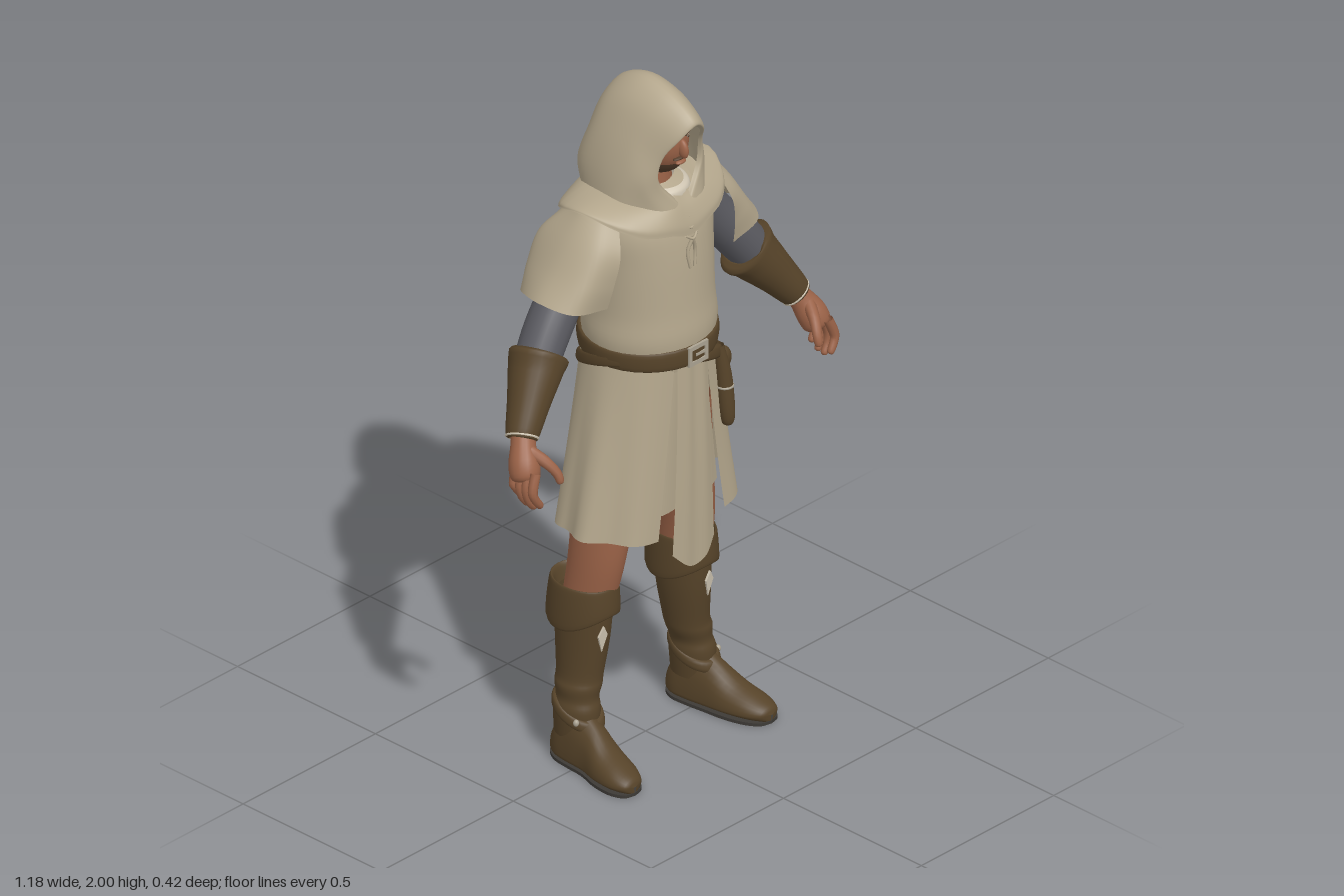
import * as THREE from 'three';
import { mergeVertices } from 'three/addons/utils/BufferGeometryUtils.js';

const mat = (name, color) => new THREE.MeshStandardMaterial({ name, color, side: THREE.DoubleSide });
const V = (p) => new THREE.Vector3(...p);

// Smooth surface through rows of control points
function skin(rows, { loop = false, nu = 32, nv = 16 } = {}) {
  const curves = rows.map((r) => new THREE.CatmullRomCurve3(r.map(V), loop, 'catmullrom'));
  let geo = new THREE.PlaneGeometry(1, 1, nu, nv);
  const pos = geo.attributes.position;
  for (let i = 0; i <= nu; i++) {
    const column = new THREE.CatmullRomCurve3(curves.map((c) => c.getPoint(i / nu)), false, 'catmullrom');
    for (let j = 0; j <= nv; j++) {
      const p = column.getPoint(j / nv);
      pos.setXYZ(j * (nu + 1) + i, p.x, p.y, p.z);
    }
  }
  geo.deleteAttribute('uv');
  geo.deleteAttribute('normal');
  geo = mergeVertices(geo);
  geo.computeVertexNormals();
  return geo;
}

// Horizontal oval of control points, starting at the front; lift(angle) bends its height
const ring = (x, y, z, rx, rz, lift = () => 0) => Array.from({ length: 16 }, (_, i) => {
  const a = (i / 16) * Math.PI * 2;
  return [x + rx * Math.sin(a), y + lift(a), z + rz * Math.cos(a)];
});
const stack = (rings, nv = 20) => skin(rings.map((r) => ring(...r)), { loop: true, nv });

// Round limb along [x, y, z, radius] stations
function limb(path, nu = 20, nv = 16) {
  const rows = path.map((p, i) => {
    const a = V(path[Math.max(i - 1, 0)].slice(0, 3));
    const b = V(path[Math.min(i + 1, path.length - 1)].slice(0, 3));
    const t = b.sub(a).normalize();
    const u = new THREE.Vector3(0, 0, 1).cross(t).normalize();
    const v = t.clone().cross(u);
    return Array.from({ length: 10 }, (_, k) => {
      const w = (k / 10) * Math.PI * 2;
      return V(p.slice(0, 3)).addScaledVector(u, p[3] * Math.cos(w)).addScaledVector(v, p[3] * Math.sin(w)).toArray();
    });
  });
  return skin(rows, { loop: true, nu, nv });
}

// Completes a half row that starts on x = 0
const mirrorRow = (half) => [...half.slice(1).reverse().map(([x, y, z]) => [-x, y, z]), ...half];

export function createModel() {
  const root = new THREE.Group();
  const cloth = mat('cloth', 0xb3a68c), leather = mat('leather', 0x564329), flesh = mat('skin', 0x9a6247);
  const shirt = mat('grey shirt', 0x5a5a60), cream = mat('cream lining', 0xcfc5b2), hair = mat('brown hair', 0x543d2b);
  const metal = mat('metal', 0xaaa291), soleDark = mat('sole', 0x3d3a36);
  const add = (parent, name, geo, material, p = [0, 0, 0], s = [1, 1, 1], r = [0, 0, 0]) => {
    const m = new THREE.Mesh(geo, material);
    m.name = name;
    m.position.set(...p); m.scale.set(...s); m.rotation.set(...r);
    parent.add(m);
  };
  const ball = new THREE.SphereGeometry(1, 24, 16);
  const box = new THREE.BoxGeometry(1, 1, 1);

  // Head, face and neck
  const head = new THREE.Group();
  head.name = 'head';
  root.add(head);
  add(head, 'skull', ball, flesh, [0, 1.835, 0.045], [0.072, 0.1, 0.09]);
  add(head, 'nose', ball, flesh, [0, 1.825, 0.135], [0.012, 0.028, 0.018], [-0.25, 0, 0]);
  add(head, 'beard', new THREE.SphereGeometry(1, 24, 10, 0, Math.PI * 2, Math.PI * 0.66, Math.PI * 0.34), hair,
    [0, 1.834, 0.046], [0.077, 0.106, 0.095]);
  add(head, 'moustache', ball, hair, [0, 1.797, 0.127], [0.027, 0.005, 0.01]);
  add(head, 'mouth', ball, flesh, [0, 1.783, 0.128], [0.018, 0.006, 0.009]);
  for (const s of [-1, 1]) {
    add(head, 'eye', ball, cream, [s * 0.027, 1.85, 0.124], [0.008, 0.004, 0.006]);
    add(head, 'pupil', ball, hair, [s * 0.027, 1.85, 0.128], [0.004, 0.004, 0.004]);
    add(head, 'eyebrow', box, hair, [s * 0.028, 1.863, 0.125], [0.034, 0.007, 0.009], [0, s * 0.3, s * 0.15]);
  }
  add(root, 'neck', new THREE.CylinderGeometry(0.058, 0.07, 0.18, 20), flesh, [0, 1.67, 0.01]);
  add(root, 'scarf', stack([[0, 1.705, 0.03, 0.07, 0.085], [0, 1.69, 0.03, 0.088, 0.1], [0, 1.64, 0.03, 0.095, 0.1]], 8), cream);

  // Hood: arches from the face opening to the back seam, closing below the chin
  add(root, 'hood', skin([
    [[0, 1.905, 0.172], [0.04, 1.875, 0.158], [0.068, 1.82, 0.125], [0.072, 1.75, 0.115], [0.025, 1.682, 0.13]],
    [[0, 1.92, 0.185], [0.046, 1.885, 0.168], [0.077, 1.822, 0.132], [0.084, 1.745, 0.125], [0.03, 1.668, 0.145]],
    [[0, 1.95, 0.155], [0.053, 1.91, 0.14], [0.092, 1.83, 0.105], [0.116, 1.742, 0.1], [0.085, 1.65, 0.132]],
    [[0, 1.985, 0.085], [0.06, 1.943, 0.075], [0.103, 1.857, 0.05], [0.134, 1.755, 0.045], [0.15, 1.65, 0.045]],
    [[0, 2.0, 0], [0.063, 1.955, -0.01], [0.105, 1.863, -0.03], [0.135, 1.755, -0.04], [0.15, 1.64, -0.04]],
    [[0, 1.97, -0.08], [0.057, 1.93, -0.085], [0.093, 1.85, -0.1], [0.117, 1.735, -0.125], [0.12, 1.635, -0.11]],
    [[0, 1.905, -0.132], [0.034, 1.88, -0.135], [0.055, 1.81, -0.15], [0.07, 1.71, -0.175], [0.065, 1.63, -0.145]],
    [[0, 1.88, -0.14], [0, 1.85, -0.146], [0, 1.79, -0.16], [0, 1.7, -0.185], [0, 1.625, -0.15]],
  ].map(mirrorRow), { nu: 40, nv: 35 }), cloth);

  // Cowl lying over the shoulders
  const cowlHalf = [[0, 1.578, 0.168], [0.07, 1.6, 0.166], [0.14, 1.612, 0.142], [0.2, 1.64, 0.092], [0.242, 1.673, 0],
    [0.222, 1.645, -0.1], [0.14, 1.595, -0.168], [0.07, 1.565, -0.194], [0, 1.55, -0.2]];
  const cowlRow = (k, lift) => {
    const half = cowlHalf.map(([x, y, z]) => [x * k, y + (1.7 - y) * lift, z * (0.55 + 0.45 * k)]);
    return [...half, ...half.slice(1, -1).reverse().map(([x, y, z]) => [-x, y, z])];
  };
  add(root, 'cowl', skin([cowlRow(0.45, 0.9), cowlRow(0.75, 0.6), cowlRow(0.96, 0.25), cowlRow(1, 0)], { loop: true, nu: 48 }), cloth);

  // Tunic body
  add(root, 'tunic', stack([
    [0, 1.18, 0.008, 0.17, 0.165], [0, 1.27, 0.013, 0.188, 0.172], [0, 1.36, 0.012, 0.182, 0.165],
    [0, 1.5, 0.008, 0.188, 0.158], [0, 1.6, 0, 0.2, 0.148], [0, 1.67, -0.005, 0.18, 0.115], [0, 1.7, 0, 0.08, 0.07],
  ], 30), cloth);

  // Half cape covering back, shoulders and upper arms, longest at the centre back
  add(root, 'cape', skin([
    [[0, 1.655, -0.12], [0.08, 1.655, -0.12], [0.14, 1.655, -0.11], [0.19, 1.66, -0.09], [0.215, 1.668, -0.05],
      [0.228, 1.672, -0.01], [0.213, 1.665, 0.04], [0.185, 1.65, 0.08]],
    [[0, 1.52, -0.19], [0.075, 1.53, -0.192], [0.165, 1.53, -0.175], [0.215, 1.56, -0.16], [0.257, 1.585, -0.13],
      [0.28, 1.602, -0.02], [0.263, 1.592, 0.065], [0.212, 1.57, 0.112]],
    [[0, 1.4, -0.197], [0.075, 1.41, -0.205], [0.17, 1.43, -0.185], [0.238, 1.46, -0.165], [0.297, 1.498, -0.143],
      [0.333, 1.52, -0.025], [0.31, 1.51, 0.074], [0.228, 1.49, 0.105]],
    [[0, 1.225, -0.205], [0.075, 1.24, -0.208], [0.165, 1.325, -0.188], [0.25, 1.37, -0.165], [0.33, 1.425, -0.138],
      [0.385, 1.455, -0.025], [0.35, 1.44, 0.073], [0.238, 1.42, 0.09]],
  ].map(mirrorRow), { nu: 84, nv: 20 }), cloth);

  // Neck lacing
  for (const [y, z] of [[1.64, 0.152], [1.61, 0.162], [1.58, 0.17]]) {
    add(root, 'lace', limb([[-0.02, y, z - 0.004, 0.004], [0, y - 0.012, z + 0.003, 0.004], [0.02, y, z - 0.004, 0.004]], 8, 8), cloth);
  }
  for (const s of [-1, 1]) {
    add(root, 'laceEnd', limb([[0, 1.57, 0.171, 0.005], [s * 0.014, 1.53, 0.166, 0.005], [s * 0.008, 1.48, 0.17, 0.004]], 8, 8), cloth);
  }

  // Pleated skirt, open at the front
  const skirtRows = [0, 0.2, 0.45, 0.75, 1].map((t) => Array.from({ length: 37 }, (_, i) => {
    const start = 0.33 + 0.14 * t;
    const a = start + (i / 36) * (Math.PI * 2 - 2 * start);
    const fold = 1 + 0.035 * t * Math.cos(9 * a);
    const hem = 0.02 * t * Math.cos(a) ** 2;
    return [(0.18 + 0.1 * t) * fold * Math.sin(a), 1.22 - 0.508 * t - hem, (0.165 + 0.018 * t) * fold * Math.cos(a) + 0.006];
  }));
  add(root, 'skirt', skin(skirtRows, { nu: 108, nv: 16 }), cloth);

  // Pointed front panel over a shorter underskirt
  const panelRow = (w, y, z, dip, sag = 0.008) => mirrorRow([[0, y - dip, z], [w * 0.5, y - dip * 0.7, z + 0.004], [w, y, z - sag]]);
  add(root, 'frontPanel', skin([panelRow(0.056, 1.21, 0.178, 0), panelRow(0.062, 1, 0.182, 0),
    panelRow(0.07, 0.8, 0.183, 0), panelRow(0.078, 0.635, 0.181, 0.055)], { nu: 16 }), cloth);
  add(root, 'underskirt', skin([panelRow(0.1, 1.2, 0.145, 0, 0.03), panelRow(0.13, 0.97, 0.14, 0, 0.03),
    panelRow(0.16, 0.745, 0.135, 0, 0.03)], { nu: 16 }), cloth);

  // Waist belt, buckle and slanted hip strap
  add(root, 'belt', stack([[0, 1.254, 0.008, 0.172, 0.17], [0, 1.249, 0.008, 0.19, 0.183],
    [0, 1.203, 0.008, 0.187, 0.183], [0, 1.198, 0.008, 0.17, 0.17]], 12), leather);
  const frame = new THREE.Shape([[-0.036, -0.029], [0.036, -0.029], [0.036, 0.029], [-0.036, 0.029]].map((p) => new THREE.Vector2(...p)));
  frame.holes.push(new THREE.Path([[-0.025, -0.017], [-0.025, 0.017], [0.025, 0.017], [0.025, -0.017]].map((p) => new THREE.Vector2(...p))));
  add(root, 'buckle', new THREE.ExtrudeGeometry(frame, { depth: 0.008, bevelEnabled: false }), metal, [0, 1.226, 0.186]);
  add(root, 'bucklePin', box, metal, [0.01, 1.226, 0.191], [0.04, 0.008, 0.006]);
  const slant = (a) => -0.058 * Math.sin(a) + 0.055 * Math.cos(a);
  add(root, 'hipStrap', stack([[0.01, 1.172, 0.004, 0.185, 0.165, slant], [0.01, 1.167, 0.004, 0.2, 0.18, slant],
    [0.01, 1.137, 0.004, 0.202, 0.182, slant], [0.01, 1.132, 0.004, 0.187, 0.165, slant]], 10), leather);

  // Pouch and sheath on the left hip
  add(root, 'pouch', ball, leather, [0.145, 1.13, 0.138], [0.028, 0.035, 0.022]);
  add(root, 'sheath', limb([[0.125, 1.18, 0.145, 0.014], [0.138, 1.09, 0.15, 0.022], [0.142, 0.99, 0.158, 0.022],
    [0.144, 0.945, 0.16, 0.016], [0.144, 0.935, 0.16, 0]], 14), leather);
  add(root, 'sheathRing', new THREE.TorusGeometry(0.021, 0.004, 8, 18), metal, [0.14, 1.055, 0.153], [1, 1, 1], [Math.PI / 2, 0, 0]);

  // Left limbs, mirrored for the right
  const side = new THREE.Group();
  side.name = 'leftLimbs';
  add(side, 'sleeve', limb([[0.17, 1.59, -0.03, 0.06], [0.262, 1.468, -0.03, 0.062], [0.348, 1.365, -0.02, 0.064], [0.42, 1.27, -0.005, 0.06]]), shirt);
  add(side, 'bracer', limb([[0.388, 1.302, -0.014, 0.06], [0.386, 1.306, -0.014, 0.077], [0.412, 1.272, -0.004, 0.074],
    [0.465, 1.205, 0.022, 0.058], [0.517, 1.135, 0.047, 0.044], [0.518, 1.133, 0.048, 0.034]], 24), leather);
  add(side, 'wristTrim', limb([[0.513, 1.14, 0.045, 0.04], [0.517, 1.134, 0.048, 0.046], [0.52, 1.13, 0.05, 0.04]], 20, 6), cream);
  add(side, 'palm', limb([[0.505, 1.15, 0.042, 0.033], [0.525, 1.115, 0.06, 0.034], [0.542, 1.075, 0.08, 0.042],
    [0.552, 1.04, 0.094, 0.036], [0.554, 1.03, 0.098, 0]]), flesh);
  for (let i = 0; i < 4; i++) {
    const z = 0.062 + i * 0.023, drop = [0.02, 0.003, 0, 0.012][i];
    add(side, 'finger', limb([[0.552, 1.07, z, 0.014], [0.569, 1.025, z + 0.006, 0.0135], [0.565, 0.99 + drop, z + 0.01, 0.012],
      [0.548, 0.965 + drop, z + 0.013, 0.01], [0.544, 0.96 + drop, z + 0.013, 0]], 10, 12), flesh);
  }
  add(side, 'thumb', limb([[0.528, 1.11, 0.085, 0.018], [0.508, 1.085, 0.125, 0.016], [0.492, 1.055, 0.15, 0.013],
    [0.488, 1.03, 0.16, 0.01], [0.487, 1.025, 0.161, 0]], 10, 12), flesh);

  // Leg and boot
  add(side, 'leg', stack([[0.12, 0.98, -0.01, 0.09, 0.1], [0.15, 0.74, -0.01, 0.074, 0.09],
    [0.168, 0.6, -0.015, 0.066, 0.084], [0.178, 0.47, -0.035, 0.062, 0.076]]), flesh);
  add(side, 'bootShaft', stack([[0.185, 0.5, -0.045, 0.072, 0.086], [0.19, 0.37, -0.046, 0.066, 0.08], [0.2, 0.26, -0.046, 0.058, 0.068],
    [0.208, 0.225, -0.044, 0.059, 0.067], [0.214, 0.19, -0.042, 0.052, 0.062], [0.218, 0.155, -0.04, 0.057, 0.068], [0.22, 0.08, -0.04, 0.052, 0.066]], 28), leather);
  const notch = (a) => 0.016 * Math.cos(2 * a) + 0.012 * Math.cos(a);
  add(side, 'bootCuff', stack([[0.184, 0.49, -0.042, 0.066, 0.08], [0.184, 0.528, -0.043, 0.074, 0.092], [0.185, 0.522, -0.045, 0.083, 0.1],
    [0.187, 0.425, -0.048, 0.088, 0.106, notch], [0.187, 0.427, -0.048, 0.07, 0.086, notch]], 24), leather);
  const lining = new THREE.Shape([[0, -0.05], [0.016, 0], [0, 0.03], [-0.014, 0.002]].map((p) => new THREE.Vector2(...p)));
  add(side, 'bootLining', new THREE.ExtrudeGeometry(lining, { depth: 0.006, bevelEnabled: false }), cream, [0.2, 0.39, 0.034], [1, 1, 1], [0.12, 0.1, 0]);

  // Foot sections run from heel to toe: z, x, half width, height
  const foot = [[-0.112, 0.218, 0.004, 0.05], [-0.107, 0.218, 0.032, 0.08], [-0.07, 0.22, 0.053, 0.13], [-0.02, 0.224, 0.056, 0.165],
    [0.04, 0.23, 0.055, 0.135], [0.1, 0.242, 0.06, 0.09], [0.16, 0.252, 0.054, 0.065], [0.2, 0.257, 0.033, 0.045], [0.21, 0.258, 0.004, 0.025]];
  const footRow = ([z, x, w, top]) => Array.from({ length: 12 }, (_, i) => {
    const a = (i / 12) * Math.PI * 2, c = Math.sin(a);
    return [x + w * Math.cos(a), 0.026 + (c > 0 ? top - 0.026 : 0.022) * c, z];
  });
  add(side, 'foot', skin(foot.map(footRow), { loop: true, nu: 28, nv: 32 }), leather);
  const outline = new THREE.Shape(new THREE.SplineCurve([...foot.map(([z, x, w]) => [x + w, -z]),
    ...foot.slice().reverse().map(([z, x, w]) => [x - w, -z])].map((p) => new THREE.Vector2(...p))).getPoints(60));
  add(side, 'sole', new THREE.ExtrudeGeometry(outline, { depth: 0.009, bevelEnabled: false }), soleDark, [0, 0, 0], [1, 1, 1], [-Math.PI / 2, 0, 0]);

  // Ankle strap and its stud
  const dip = (a) => -0.03 * Math.cos(a);
  add(side, 'ankleStrap', stack([[0.218, 0.168, -0.036, 0.05, 0.06, dip], [0.218, 0.162, -0.036, 0.06, 0.074, dip],
    [0.219, 0.138, -0.034, 0.061, 0.077, dip], [0.219, 0.132, -0.034, 0.05, 0.06, dip]], 9), leather);
  add(side, 'strapStud', ball, metal, [0.268, 0.14, 0.005], [0.008, 0.01, 0.008]);

  root.add(side);
  const other = side.clone();
  other.name = 'rightLimbs';
  other.scale.x = -1;
  root.add(other);
  return root;
}
